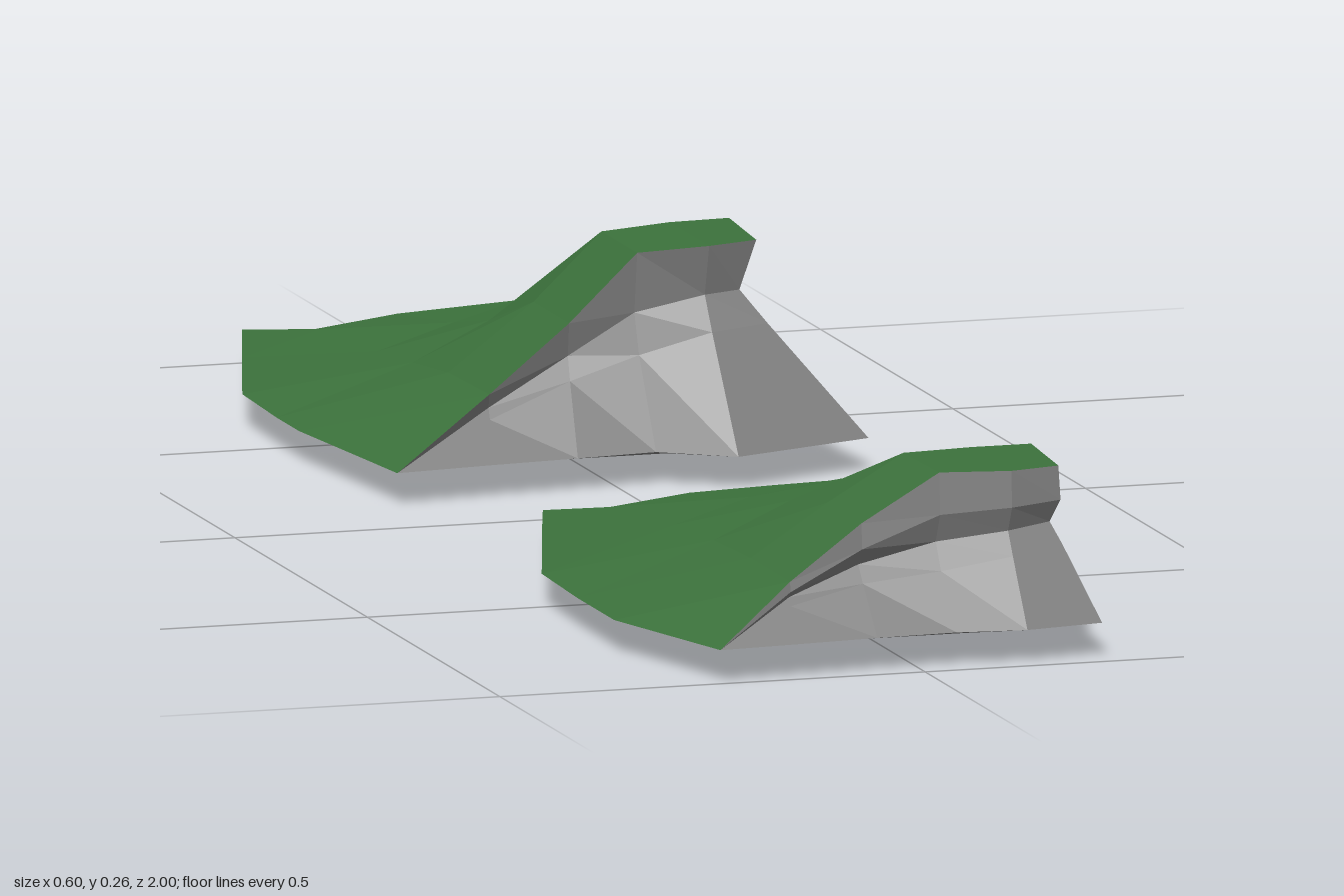
import * as THREE from 'three';

const RIM = 0.038; // height of the ground outline
const grass = new THREE.MeshStandardMaterial({ color: 0x3c723c, flatShading: true });
const rock = new THREE.MeshStandardMaterial({ color: 0x828282, flatShading: true });
const mix = THREE.MathUtils.lerp;
const clamp = THREE.MathUtils.clamp;

// Surface through rows of [x, y, z] points; faces (row direction) x (column direction)
function sheet(name, rows, material) {
  const n = rows[0].length, index = [];
  for (let r = 0; r < rows.length - 1; r++) {
    for (let c = 0; c < n - 1; c++) {
      const a = r * n + c, b = a + n;
      index.push(a, b, b + 1, a, b + 1, a + 1);
    }
  }
  const geometry = new THREE.BufferGeometry();
  geometry.setAttribute('position', new THREE.Float32BufferAttribute(rows.flat(2), 3));
  geometry.setIndex(index);
  geometry.computeVertexNormals();
  const mesh = new THREE.Mesh(geometry, material);
  mesh.name = name;
  return mesh;
}

function hill(name, { slope, foot, ledge, profile, flat }) {
  const group = new THREE.Group();
  group.name = name;

  // Grassy ramp, rows from back to front
  group.add(sheet('grassSlope', slope, grass));

  // Cliff under the right and front edges of the ramp. Each profile step is
  // [level: 0 rim, 1 ledge, 2 top; reach: 0 under the edge, 1 at the foot]
  const last = slope[slope.length - 1];
  const edge = [...slope.map((row) => row[row.length - 1]), ...last.slice(0, -1).reverse()];
  group.add(sheet('cliff', profile.map(([level, reach]) => edge.map(([x, y, z], i) => [
    mix(x, foot[i][0], reach),
    level < 1 ? mix(RIM, ledge[i], level) : mix(ledge[i], y, level - 1),
    mix(z, foot[i][1], reach),
  ])), rock));

  // Underside: tapers from the rim to a small flat base
  const left = slope.slice(0, -1).map((row) => row[0]).reverse();
  const rim = [...slope[0], ...foot.slice(1).map(([x, z]) => [x, RIM, z]), ...left];
  const [x0, x1, z0, z1] = flat;
  const base = rim.map(([x, , z]) => [clamp(x, x0, x1), 0, clamp(z, z0, z1)]);
  group.add(sheet('underside', [base, rim], rock));
  group.add(sheet('base', [
    [[x0, 0, z0], [x0, 0, z1]],
    [[x1, 0, z0], [x1, 0, z1]],
  ], rock));
  return group;
}

export function createModel() {
  const model = new THREE.Group();
  model.name = 'hillLedges';

  model.add(hill('rearHill', {
    slope: [
      [[-0.18, RIM, -1], [-0.1, RIM, -0.98], [-0.03, RIM, -0.955], [0.04, RIM, -0.91], [0.1, RIM, -0.86], [0.145, RIM, -0.835]],
      [[-0.23, RIM, -0.84], [-0.14, 0.065, -0.84], [-0.05, 0.08, -0.83], [0.04, 0.085, -0.8], [0.1, 0.09, -0.76], [0.135, 0.093, -0.72]],
      [[-0.295, RIM, -0.63], [-0.14, 0.08, -0.62], [-0.05, 0.108, -0.62], [0.04, 0.13, -0.62], [0.1, 0.135, -0.62], [0.145, 0.135, -0.62]],
      [[-0.3, RIM, -0.485], [-0.14, 0.092, -0.485], [-0.05, 0.135, -0.485], [0.04, 0.172, -0.485], [0.12, 0.18, -0.485], [0.19, 0.182, -0.485]],
      [[-0.3, RIM, -0.4], [-0.14, 0.105, -0.35], [-0.04, 0.18, -0.35], [0.04, 0.256, -0.35], [0.12, 0.262, -0.35], [0.19, 0.263, -0.35]],
      [[-0.27, RIM, -0.125], [-0.14, 0.108, -0.195], [-0.04, 0.18, -0.215], [0.04, 0.256, -0.215], [0.12, 0.262, -0.2], [0.18, 0.263, -0.215]],
    ],
    foot: [[0.145, -0.835], [0.17, -0.74], [0.195, -0.64], [0.28, -0.485], [0.29, -0.33], [0.298, -0.17],
      [0.125, -0.105], [0.045, -0.16], [-0.05, -0.15], [-0.15, -0.14], [-0.27, -0.125]],
    ledge: [RIM, 0.06, 0.08, 0.09, 0.108, 0.168, 0.165, 0.14, 0.115, 0.08, RIM],
    profile: [[0, 1], [1, 0.1], [1.4, -0.15], [2, 0]],
    flat: [-0.035, 0.115, -0.62, -0.34],
  }));

  model.add(hill('frontHill', {
    slope: [
      [[-0.18, RIM, 0.135], [-0.1, RIM, 0.155], [-0.035, RIM, 0.18], [0.045, RIM, 0.225], [0.1, RIM, 0.26], [0.165, RIM, 0.3]],
      [[-0.22, RIM, 0.26], [-0.14, 0.062, 0.26], [-0.05, 0.075, 0.27], [0.04, 0.082, 0.29], [0.12, 0.09, 0.35], [0.183, 0.096, 0.4]],
      [[-0.295, RIM, 0.5], [-0.14, 0.085, 0.5], [-0.05, 0.112, 0.5], [0.04, 0.125, 0.5], [0.12, 0.127, 0.5], [0.19, 0.127, 0.5]],
      [[-0.3, RIM, 0.65], [-0.14, 0.095, 0.65], [-0.05, 0.135, 0.65], [0.04, 0.16, 0.65], [0.12, 0.163, 0.65], [0.19, 0.163, 0.65]],
      [[-0.3, RIM, 0.79], [-0.14, 0.1, 0.79], [-0.05, 0.158, 0.79], [0.04, 0.21, 0.79], [0.12, 0.212, 0.79], [0.19, 0.212, 0.79]],
      [[-0.24, RIM, 0.998], [-0.14, 0.1, 0.94], [-0.05, 0.158, 0.92], [0.04, 0.212, 0.925], [0.12, 0.212, 0.94], [0.18, 0.212, 0.925]],
    ],
    foot: [[0.165, 0.3], [0.198, 0.4], [0.225, 0.5], [0.225, 0.665], [0.238, 0.79], [0.218, 0.968],
      [0.125, 0.985], [0.045, 0.975], [-0.05, 0.98], [-0.15, 0.99], [-0.24, 0.998]],
    ledge: [RIM, 0.06, 0.078, 0.085, 0.1, 0.122, 0.115, 0.1, 0.09, 0.073, RIM],
    profile: [[0, 1], [1, 0.1], [1.28, -0.2], [1.57, 0.05], [2, 0]],
    flat: [-0.035, 0.115, 0.5, 0.79],
  }));

  return model;
}
